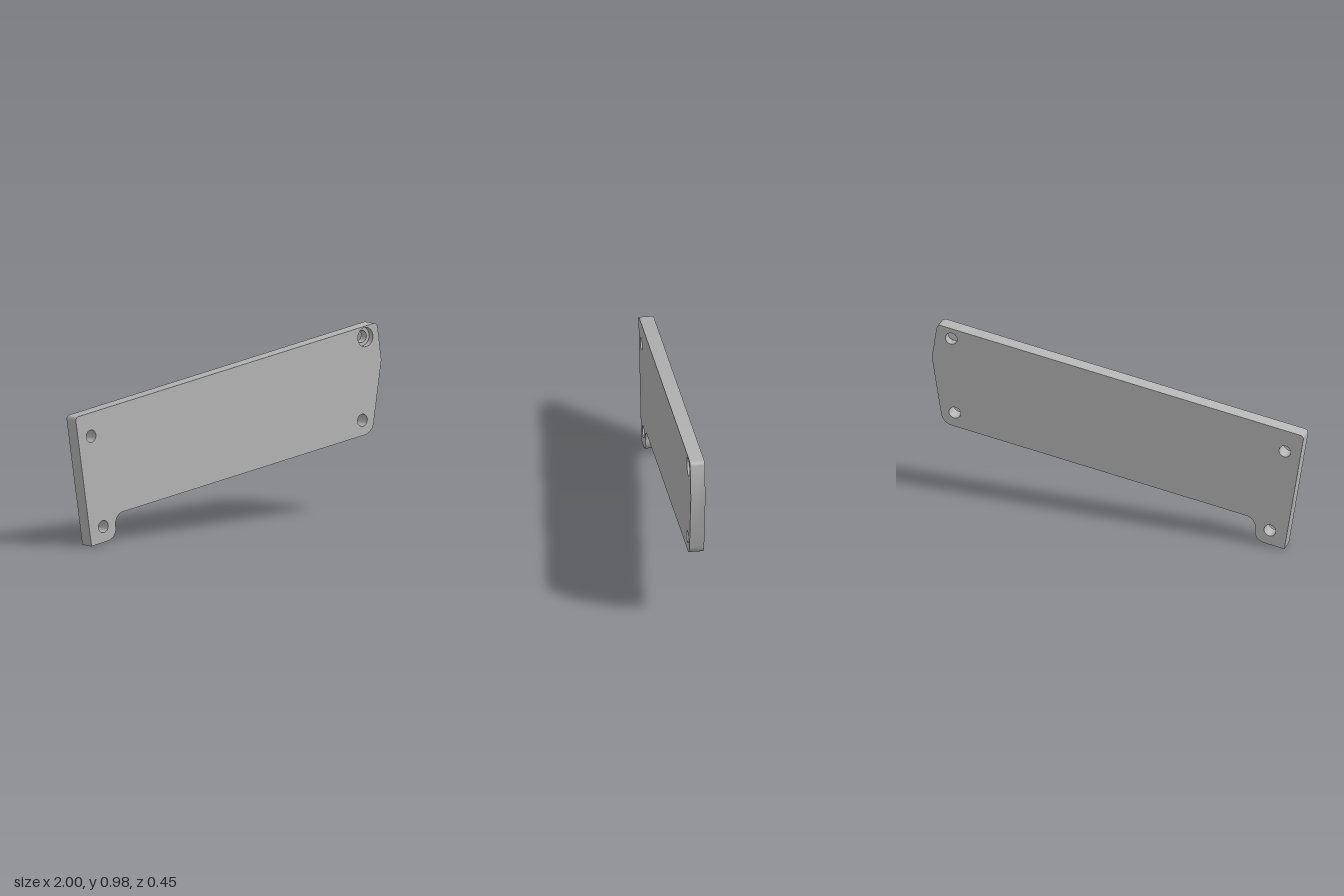
import * as THREE from 'three';
import { toCreasedNormals } from 'three/addons/utils/BufferGeometryUtils.js';

const ANGLE = 0.185;      // turn of the plate about the vertical axis
const THICK = 0.076;
const HOLE = 0.032;       // bolt hole radius
const BORE = 0.05;        // counterbore radius
const BORE_DEPTH = 0.032;

// Front-face x position to distance along the turned plate
const along = (x) => (x + Math.sin(ANGLE) * THICK / 2) / Math.cos(ANGLE);

// Polygon of [x, y, radius] corners, each rounded by an arc
function roundedShape(corners) {
  const pts = corners.map(([x, y]) => new THREE.Vector2(along(x), y));
  const n = pts.length;
  const shape = new THREE.Shape();
  const go = (p, i) => (i === 0 ? shape.moveTo(p.x, p.y) : shape.lineTo(p.x, p.y));
  pts.forEach((p, i) => {
    const r = corners[i][2];
    if (!r) return go(p, i);
    const a = pts[(i + n - 1) % n].clone().sub(p).normalize();
    const b = pts[(i + 1) % n].clone().sub(p).normalize();
    const half = Math.acos(a.dot(b)) / 2;
    const start = p.clone().addScaledVector(a, r / Math.tan(half));
    const end = p.clone().addScaledVector(b, r / Math.tan(half));
    const c = p.clone().addScaledVector(a.clone().add(b).normalize(), r / Math.sin(half));
    go(start, i);
    shape.absarc(c.x, c.y, r,
      Math.atan2(start.y - c.y, start.x - c.x),
      Math.atan2(end.y - c.y, end.x - c.x), a.cross(b) > 0);
  });
  shape.closePath();
  return shape;
}

export function createModel() {
  const grey = new THREE.MeshStandardMaterial({ color: 0xb4b4b4 });
  grey.name = 'plain grey';

  // Plate outline, counter-clockwise from the foot of the tab
  const outline = roundedShape([
    [-0.897, 0.001, 0],
    [-0.731, 0.029, 0.06],
    [-0.75, 0.153, 0.06],
    [0.928, 0.417, 0.07],
    [0.986, 0.79, 0],
    [0.958, 0.988, 0.025],
    [-1.002, 0.682, 0.02],
  ]);

  // Bolt holes; the last one is wide and takes the counterbore step
  const bore = [0.882, 0.918];
  for (const [x, y, r] of [
    [-0.9, 0.575, HOLE], [-0.82, 0.097, HOLE], [0.863, 0.487, HOLE], [...bore, BORE],
  ]) {
    outline.holes.push(new THREE.Path().absarc(along(x), y, r, 0, Math.PI * 2, true));
  }

  const plateGeometry = new THREE.ExtrudeGeometry(outline, {
    depth: THICK, bevelEnabled: false, curveSegments: 20,
  });
  plateGeometry.translate(0, 0, -THICK / 2);
  const plate = new THREE.Mesh(toCreasedNormals(plateGeometry, 0.5), grey);
  plate.name = 'plate';

  // Step that narrows the wide hole behind the counterbore
  const top = THICK / 2 - BORE_DEPTH;
  const profile = [[BORE, top], [HOLE, top], [HOLE, -THICK / 2], [BORE, -THICK / 2]]
    .map(([r, h]) => new THREE.Vector2(r, h));
  const stepGeometry = new THREE.LatheGeometry(profile, 40);
  stepGeometry.rotateX(Math.PI / 2);
  const step = new THREE.Mesh(toCreasedNormals(stepGeometry, 0.5), grey);
  step.name = 'counterboreStep';
  step.position.set(along(bore[0]), bore[1], 0);

  const model = new THREE.Group();
  model.name = 'mountingPlate';
  const turned = new THREE.Group();
  turned.name = 'turnedPlate';
  turned.rotation.y = -ANGLE;
  turned.add(plate, step);
  model.add(turned);
  return model;
}
